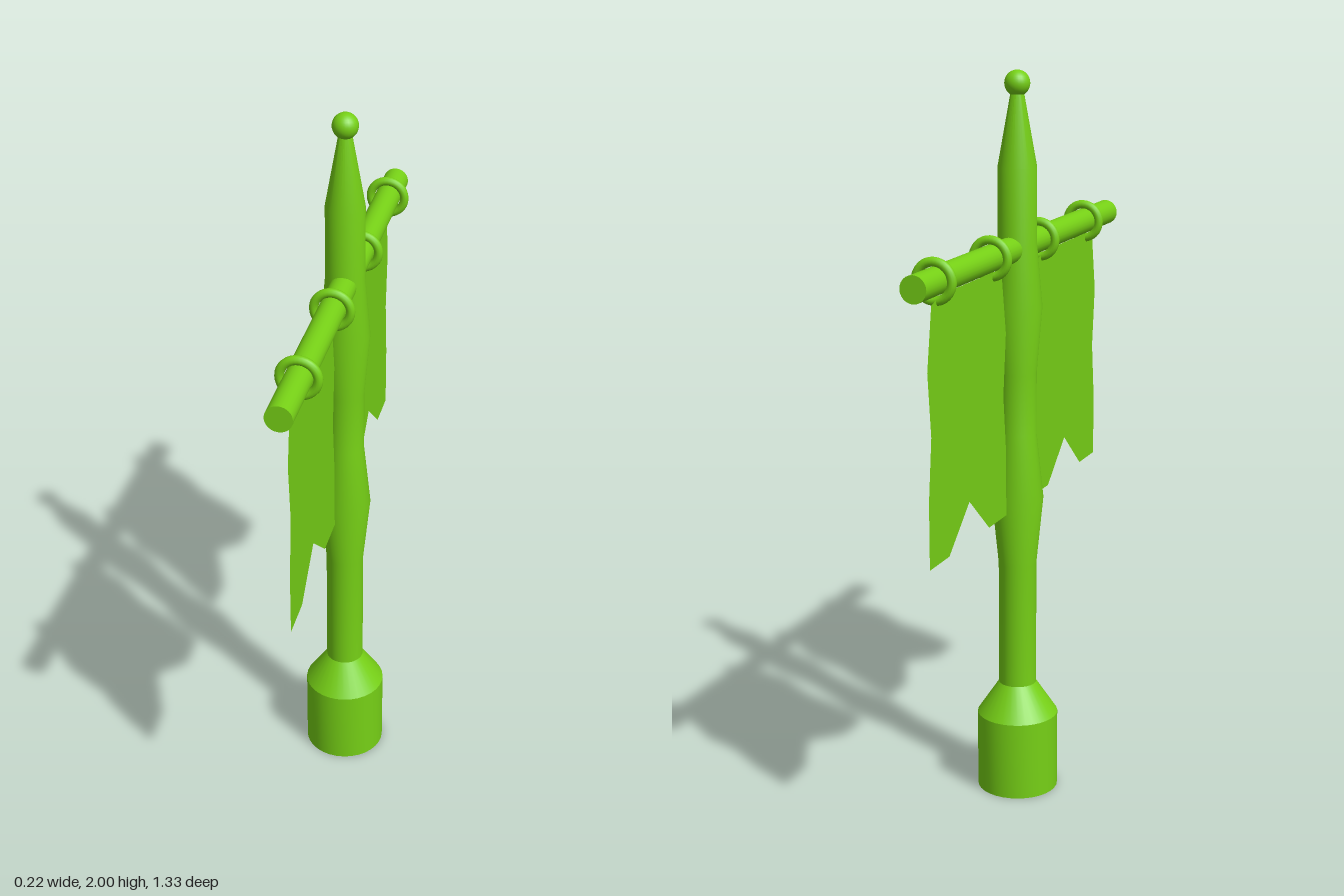
import * as THREE from 'three';
import { toCreasedNormals } from 'three/addons/utils/BufferGeometryUtils.js';

const BAR_Y = 1.536;
const POLE_Z = -0.03;

export function createModel() {
  const model = new THREE.Group();
  model.name = 'bannerPole';
  const green = new THREE.MeshStandardMaterial({ color: 0x76d016 });
  const greenThin = new THREE.MeshStandardMaterial({ color: 0x76d016, side: THREE.DoubleSide });

  const add = (name, geometry, material, x, y, z) => {
    const mesh = new THREE.Mesh(geometry, material);
    mesh.name = name;
    mesh.position.set(x, y, z);
    model.add(mesh);
    return mesh;
  };

  // Turned pole with a wide, open socket at the foot and two swellings
  const profile = [
    [0.112, 0], [0.112, 0.22], [0.052, 0.31], [0.052, 0.66], [0.071, 0.85],
    [0.052, 1.03], [0.052, 1.2], [0.067, 1.38], [0.052, 1.55], [0.052, 1.75], [0.017, 1.945],
  ].map(([r, y]) => new THREE.Vector2(r, y));
  add('pole', toCreasedNormals(new THREE.LatheGeometry(profile, 32), 0.4), greenThin, 0, 0, POLE_Z);

  // Ball on the tip
  add('finial', new THREE.SphereGeometry(0.034, 24, 16), green, 0, 1.966, POLE_Z);

  // Horizontal bar running front to back
  const bar = new THREE.CylinderGeometry(0.035, 0.035, 1.334, 24).rotateX(Math.PI / 2);
  add('crossbar', bar, green, 0.003, BAR_Y, 0);

  // Rings around the bar
  const ring = new THREE.TorusGeometry(0.048, 0.012, 12, 32);
  for (const z of [0.475, 0.13, -0.205, -0.55]) add('ring', ring, green, 0.003, BAR_Y, z);

  // Cloth outline: half of it, mirrored, with a notched lower edge
  const half = [
    [0.16, 1.502], [0.217, 1.485], [0.244, 1.326], [0.226, 1.16],
    [0.244, 1.0], [0.244, 0.826], [0.127, 0.826],
  ];
  const outline = [...half, [0, 0.934], ...half.map(([z, y]) => [-z, y]).reverse()];
  const cloth = new THREE.ShapeGeometry(
    new THREE.Shape(outline.map(([z, y]) => new THREE.Vector2(z, y)))
  ).rotateY(-Math.PI / 2);
  add('frontBanner', cloth, greenThin, -0.008, 0, 0.305);
  add('backBanner', cloth, greenThin, -0.008, 0, -0.373);

  return model;
}
